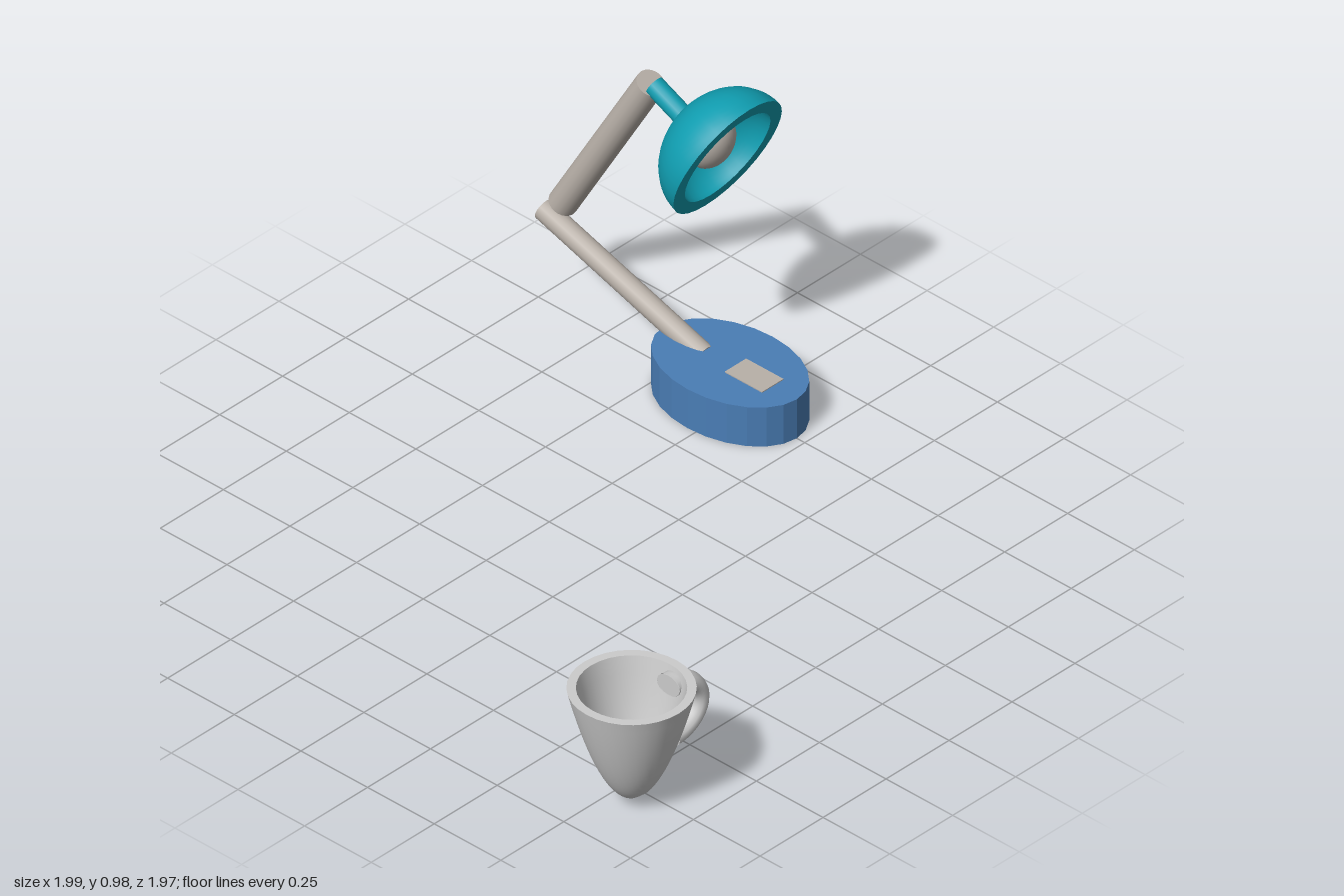
import * as THREE from 'three';
import { toCreasedNormals } from 'three/addons/utils/BufferGeometryUtils.js';

const material = (color, extra = {}) => new THREE.MeshStandardMaterial({ color, ...extra });
const grey = material(0xcccccc, { side: THREE.DoubleSide });
const metal = material(0xb8b0a8);
const teal = material(0x109db0);
const blue = material(0x4a7db5, { flatShading: true });

function addMesh(parent, name, geometry, mat, position = [0, 0, 0]) {
  const mesh = new THREE.Mesh(geometry, mat);
  mesh.name = name;
  mesh.position.set(...position);
  parent.add(mesh);
  return mesh;
}

// Cylinder running between two points
function addRod(parent, name, from, to, radius, mat) {
  const a = new THREE.Vector3(...from), b = new THREE.Vector3(...to);
  const dir = b.clone().sub(a);
  const rod = addMesh(parent, name, new THREE.CylinderGeometry(radius, radius, dir.length(), 16), mat);
  rod.position.copy(a).add(b).multiplyScalar(0.5);
  rod.quaternion.setFromUnitVectors(new THREE.Vector3(0, 1, 0), dir.normalize());
}

function createLamp() {
  const lamp = new THREE.Group();
  lamp.name = 'lamp';

  // Oval foot with a switch on top
  const base = addMesh(lamp, 'base', new THREE.CylinderGeometry(1, 1, 0.13, 24), blue, [-0.28, 0.065, -0.75]);
  base.scale.set(0.25, 1, 0.17);
  addMesh(lamp, 'switch', new THREE.BoxGeometry(0.14, 0.02, 0.085), metal, [-0.19, 0.123, -0.75]);

  // Two arm segments side by side at the elbow, then the neck of the head
  addRod(lamp, 'lowerArm', [-0.985, 0.3, -0.755], [-0.38, 0.103, -0.755], 0.033, metal);
  addRod(lamp, 'upperArm', [-0.94, 0.327, -0.785], [-0.61, 0.887, -0.785], 0.043, metal);
  addRod(lamp, 'neck', [-0.595, 0.888, -0.782], [-0.45, 0.822, -0.782], 0.03, teal);

  // Head: local +y is the direction the lamp shines
  const head = new THREE.Group();
  head.name = 'head';
  head.position.set(-0.33, 0.77, -0.793);
  head.rotation.z = -1.962;
  lamp.add(head);

  // Hollow half-dome with a flat rim
  const arc = (radius, depth) => Array.from({ length: 17 }, (_, i) => {
    const a = (i / 16) * Math.PI / 2;
    return new THREE.Vector2(radius * Math.sin(a), -depth * Math.cos(a));
  });
  const profile = [...arc(1, 0.176), ...arc(0.79, 0.14).reverse()];
  const dome = new THREE.LatheGeometry(profile, 32).scale(0.216, 1, 0.197);
  addMesh(head, 'shade', toCreasedNormals(dome, 0.6), teal);

  const bulb = addMesh(head, 'bulb', new THREE.SphereGeometry(1, 24, 16), metal, [0, -0.07, 0.0]);
  bulb.scale.set(0.095, 0.065, 0.072);
  return lamp;
}

function createCup() {
  const cup = new THREE.Group();
  cup.name = 'cup';
  cup.position.set(0.818, 0, 0.803);

  // Closed wall profile: y counts 0..1 up the outside and 1..2 down the inside
  const n = 14, profile = [];
  const outerR = 0.178, innerR = 0.152, holeR = 0.026;
  for (let i = 0; i <= n; i++) {
    profile.push(new THREE.Vector2(THREE.MathUtils.lerp(holeR, outerR, i / n), i / n));
  }
  for (let i = 0; i <= n; i++) {
    profile.push(new THREE.Vector2(THREE.MathUtils.lerp(innerR, holeR, i / n), 1.0001 + i / n));
  }
  profile.push(new THREE.Vector2(holeR, 0));
  const wall = new THREE.LatheGeometry(profile, 32);

  // Bend each ring onto a paraboloid, sliding the lower ones toward the off-centre hole
  const p = wall.attributes.position;
  for (let i = 0; i < p.count; i++) {
    const inside = p.getY(i) > 1.00005;
    const t = inside ? 2.0001 - p.getY(i) : p.getY(i);
    const x = p.getX(i) + 0.03 * (1 - t), z = p.getZ(i);
    const rho = Math.hypot(x, z) / (inside ? innerR : outerR);
    p.setXYZ(i, x, 0.02 + 0.36 * rho * rho, z);
  }
  addMesh(cup, 'cupWall', toCreasedNormals(wall, 0.6), grey);

  // Half-loop handle on the back, with oval section and closed ends
  const handle = new THREE.Group();
  handle.name = 'handle';
  handle.position.set(0.025, 0.255, -0.12);
  handle.scale.x = 1.34;
  cup.add(handle);
  const points = Array.from({ length: 13 }, (_, i) => {
    const a = (i / 12) * Math.PI;
    return new THREE.Vector3(0, 0.083 * Math.cos(a), -0.108 * Math.sin(a));
  });
  const loop = new THREE.CatmullRomCurve3(points);
  addMesh(handle, 'handleLoop', new THREE.TubeGeometry(loop, 24, 0.032, 16), grey);
  for (const y of [0.083, -0.083]) {
    addMesh(handle, 'handleEnd', new THREE.CircleGeometry(0.032, 16), grey, [0, y, 0]);
  }
  return cup;
}

export function createModel() {
  const model = new THREE.Group();
  model.name = 'deskLampAndCup';
  model.add(createLamp(), createCup());
  return model;
}
